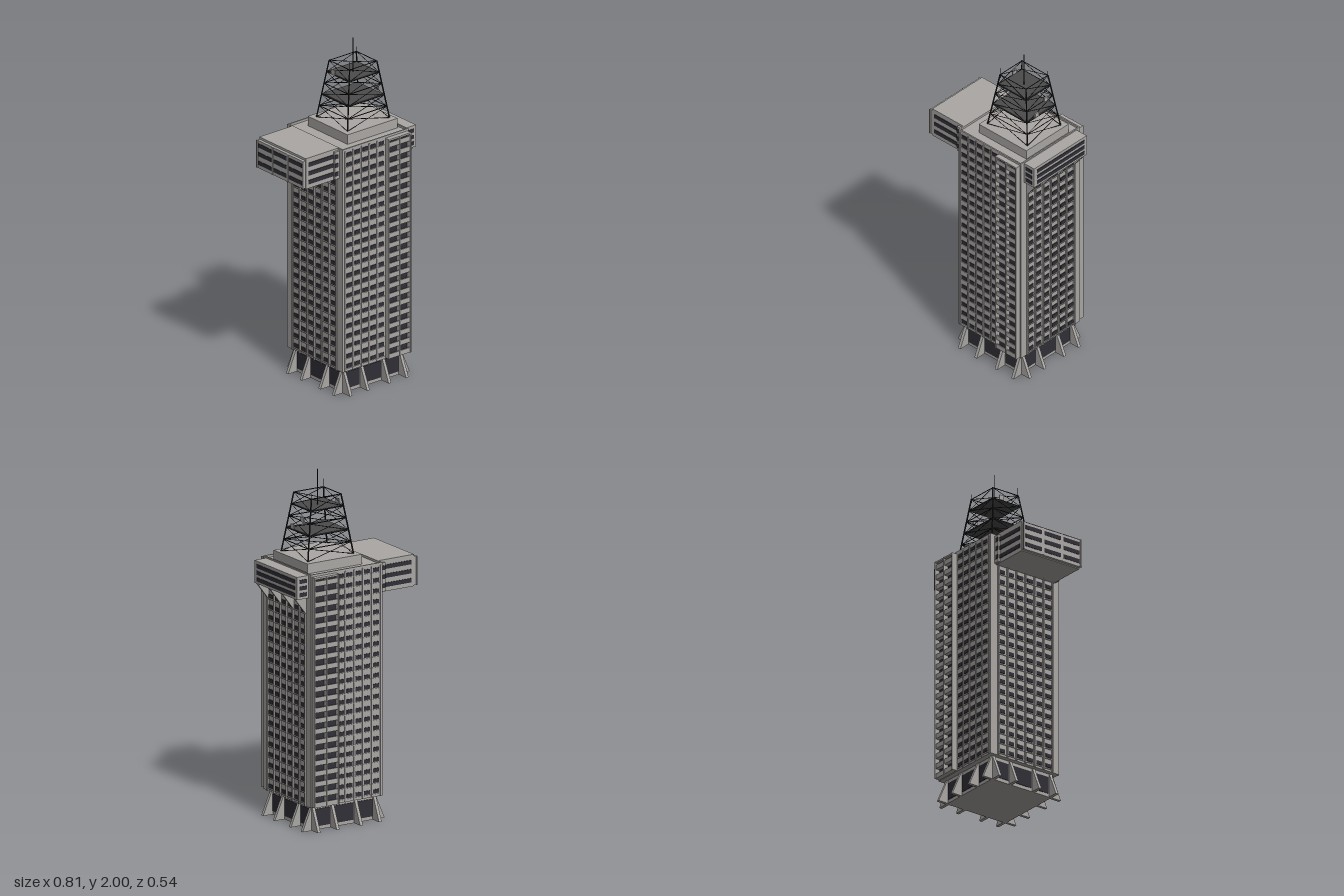
import * as THREE from 'three';
import { mergeGeometries } from 'three/addons/utils/BufferGeometryUtils.js';

const mat = (name, color) => Object.assign(new THREE.MeshStandardMaterial({ color }), { name });

export function createModel() {
  const concrete = mat('concrete', 0xaaa7a4);
  const glass = mat('darkGlass', 0x302f37);
  const steel = mat('blackSteel', 0x1e1f21);
  const deck = mat('deckGrey', 0x4c4c4c);
  const root = new THREE.Group();
  root.name = 'tower';

  const box = (x0, x1, y0, y1, z0, z1) =>
    new THREE.BoxGeometry(x1 - x0, y1 - y0, z1 - z0)
      .translate((x0 + x1) / 2, (y0 + y1) / 2, (z0 + z1) / 2);
  // box given along z with the same limits on front (s = 1) or back (s = -1)
  const zBox = (s, x0, x1, y0, y1, z0, z1) =>
    s > 0 ? box(x0, x1, y0, y1, z0, z1) : box(x0, x1, y0, y1, -z1, -z0);
  const add = (name, material, geos) => {
    const mesh = new THREE.Mesh(mergeGeometries(geos.map((g) => g.index ? g.toNonIndexed() : g)), material);
    mesh.name = name;
    root.add(mesh);
  };
  // square bar between two points
  const bar = (a, b, r) => {
    const d = new THREE.Vector3().subVectors(b, a);
    const q = new THREE.Quaternion().setFromUnitVectors(new THREE.Vector3(0, 1, 0), d.clone().normalize());
    return new THREE.CylinderGeometry(r, r, d.length(), 4)
      .applyQuaternion(q).translate((a.x + b.x) / 2, (a.y + b.y) / 2, (a.z + b.z) / 2);
  };
  // upright plate from an outline of (distance, height) points, facing +x
  const plate = (points, thick) => new THREE.ExtrudeGeometry(
    new THREE.Shape(points.map((p) => new THREE.Vector2(...p))), { depth: thick, bevelEnabled: false })
    .translate(0, 0, -thick / 2);

  const X0 = -0.152, X1 = 0.322, CX = 0.085, ZH = 0.238;
  const rows = Array.from({ length: 22 }, (_, i) => 0.172 + i * 0.0605);

  // Main shaft and roof
  add('shaft', concrete, [box(X0, X1, 0.14, 1.465, -ZH, ZH)]);
  const rim = [];
  for (const s of [-1, 1]) rim.push(zBox(s, X0, X1, 1.465, 1.478, ZH - 0.008, ZH));
  rim.push(box(X0, X0 + 0.008, 1.465, 1.478, -ZH, ZH), box(X1 - 0.008, X1, 1.465, 1.478, -ZH, ZH));
  add('roofParapet', concrete, rim);
  add('penthouse', concrete, [box(-0.06, 0.3, 1.465, 1.522, -0.17, 0.17)]);

  // Windows, sills and ribs on all four faces
  const panes = [], sills = [], ribs = [];
  const frontCols = [-0.106, -0.047, 0.01, 0.067, 0.124];
  const sideCols = [-0.161, -0.098, -0.033, 0.033, 0.098, 0.161];
  for (const y of rows) {
    for (const s of [-1, 1]) {
      for (const x of frontCols) {
        panes.push(zBox(s, x - 0.019, x + 0.019, y - 0.011, y + 0.011, ZH - 0.003, ZH + 0.003));
      }
      sills.push(zBox(s, -0.135, 0.15, y - 0.02, y - 0.015, ZH, ZH + 0.003));
    }
    for (const z of sideCols) {
      for (const x of [X0, X1]) {
        panes.push(box(x - 0.004, x + 0.004, y - 0.011, y + 0.011, z - 0.019, z + 0.019));
      }
    }
    sills.push(box(X0 - 0.005, X0, y - 0.02, y - 0.015, -0.187, 0.187),
      box(X1, X1 + 0.005, y - 0.02, y - 0.015, -0.187, 0.187));
  }
  for (let i = -3; i <= 3; i++) {
    const z = i * 0.0625;
    ribs.push(box(X0 - 0.009, X0, 0.14, 1.46, z - 0.004, z + 0.004),
      box(X1, X1 + 0.009, 0.14, 1.46, z - 0.004, z + 0.004));
  }
  for (const s of [-1, 1]) {
    for (const x of [-0.137, -0.077, -0.018, 0.038, 0.096]) {
      ribs.push(zBox(s, x - 0.003, x + 0.003, 0.14, 1.465, ZH, ZH + 0.005));
    }
  }
  add('windows', glass, panes);
  add('windowSills', concrete, sills);
  add('wallRibs', concrete, ribs);

  // Balcony stacks, front and back
  const balcony = [], openings = [];
  for (const s of [-1, 1]) {
    openings.push(zBox(s, 0.16, 0.312, 0.15, 1.455, ZH, ZH + 0.003));
    for (const x of [0.159, 0.236, 0.313]) {
      balcony.push(zBox(s, x - 0.003, x + 0.003, 0.145, 1.465, ZH, 0.271));
    }
    balcony.push(zBox(s, 0.158, 0.314, 1.455, 1.465, ZH, 0.268));
    for (const y of rows) {
      balcony.push(zBox(s, 0.16, 0.312, y - 0.027, y - 0.021, ZH, 0.266),
        zBox(s, 0.16, 0.312, y - 0.027, y + 0.002, 0.26, 0.266));
    }
  }
  add('balconies', concrete, balcony);
  add('balconyOpenings', glass, openings);

  // Recessed lobby with flared buttresses
  const BX = 0.208, BZ = 0.205;
  add('lobby', concrete, [box(CX - BX, CX + BX, 0, 0.14, -BZ, BZ)]);
  const lobbyGlass = [], fins = [];
  const fin = () => plate([[-0.01, 0], [0.064, 0], [0.004, 0.14], [-0.01, 0.14]], 0.018);
  const finX = [-0.117, 0.008, 0.163, 0.288], finZ = [-0.197, -0.08, 0.08, 0.197];
  for (const s of [-1, 1]) {
    for (const x of finX) fins.push(fin().rotateY(-s * Math.PI / 2).translate(x, 0, s * BZ));
    for (const z of finZ) fins.push(fin().rotateY(s > 0 ? 0 : Math.PI).translate(CX + s * BX, 0, z));
    for (let i = 0; i < 3; i++) {
      lobbyGlass.push(zBox(s, finX[i] + 0.013, finX[i + 1] - 0.013, 0.02, 0.12, BZ - 0.002, BZ + 0.003));
      const x = CX + s * BX;
      lobbyGlass.push(box(x - 0.003, x + 0.003, 0.02, 0.12, finZ[i] + 0.013, finZ[i + 1] - 0.013));
    }
  }
  add('buttresses', concrete, fins);
  add('lobbyGlass', glass, lobbyGlass);

  // Long cantilevered wing
  add('wing', concrete, [
    box(-0.385, X0, 1.295, 1.478, -0.2, 0.2),
    box(-0.403, -0.385, 1.3, 1.465, -0.197, 0.197),
    box(-0.187, X0, 1.3, 1.465, -0.212, 0.212),
    ...[-0.197, -0.066, 0.066, 0.197].map((z) => box(-0.407, -0.4, 1.3, 1.465, z - 0.005, z + 0.005)),
  ]);
  const wingGlass = [];
  for (const y of [1.332, 1.384, 1.436]) {
    for (const s of [-1, 1]) wingGlass.push(zBox(s, -0.368, -0.188, y - 0.012, y + 0.012, 0.198, 0.203),
      zBox(s, -0.188, -0.164, y - 0.012, y + 0.012, 0.21, 0.215));
    for (const z of [-0.131, 0, 0.131]) {
      wingGlass.push(box(-0.405, -0.401, y - 0.012, y + 0.012, z - 0.056, z + 0.056));
    }
  }
  add('wingWindows', glass, wingGlass);

  // Short pod on brackets
  add('pod', concrete, [box(X1, 0.398, 1.34, 1.47, -0.212, 0.212)]);
  const podGlass = [];
  for (const y of [1.365, 1.403, 1.441]) {
    podGlass.push(box(0.396, 0.401, y - 0.011, y + 0.011, -0.19, 0.19));
    for (const s of [-1, 1]) podGlass.push(zBox(s, 0.335, 0.382, y - 0.011, y + 0.011, 0.21, 0.215));
  }
  add('podWindows', glass, podGlass);
  add('podBrackets', concrete, [-0.1875, -0.0625, 0.0625, 0.1875].map((z) =>
    plate([[0, 1.24], [0.076, 1.34], [0, 1.34]], 0.012).translate(X1, 0, z)));

  // Lattice mast: tapering legs, rings and cross bracing
  const MX = 0.122;
  const corner = (i, level) => {
    const t = level / 5, w = 0.151 - 0.053 * t, d = 0.133 - 0.045 * t;
    const sx = [1, 1, -1, -1][i % 4], sz = [1, -1, -1, 1][i % 4];
    return new THREE.Vector3(MX + sx * w, 1.522 + 0.34 * t, sz * d);
  };
  const legs = [], braces = [];
  for (let i = 0; i < 4; i++) {
    legs.push(bar(corner(i, 0), corner(i, 5), 0.005));
    for (let l = 0; l < 5; l++) {
      braces.push(bar(corner(i, l), corner(i + 1, l + 1), 0.002),
        bar(corner(i + 1, l), corner(i, l + 1), 0.002),
        bar(corner(i, l + 1), corner(i + 1, l + 1), 0.0028));
    }
  }
  add('latticeLegs', steel, legs);
  add('latticeBraces', steel, braces);
  add('latticeDecks', deck, [
    box(MX - 0.125, MX + 0.125, 1.655, 1.663, -0.112, 0.112),
    box(MX - 0.104, MX + 0.104, 1.789, 1.797, -0.093, 0.093),
  ]);

  // Antennas and small dishes
  const whip = (x, z, y0, y1, r) => bar(new THREE.Vector3(x, y0, z), new THREE.Vector3(x, y1, z), r);
  add('antennas', steel, [whip(MX, 0, 1.795, 2, 0.003),
    whip(0.026, 0.087, 1.84, 1.908, 0.002), whip(0.218, -0.087, 1.84, 1.89, 0.002)]);
  add('dishes', concrete, [[0.013, 1.81, -0.038], [0.248, 1.738, -0.042], [0.257, 1.68, 0.043]].map(
    ([x, y, z]) => box(x - 0.004, x + 0.004, y - 0.014, y + 0.014, z - 0.014, z + 0.014)));

  return root;
}
